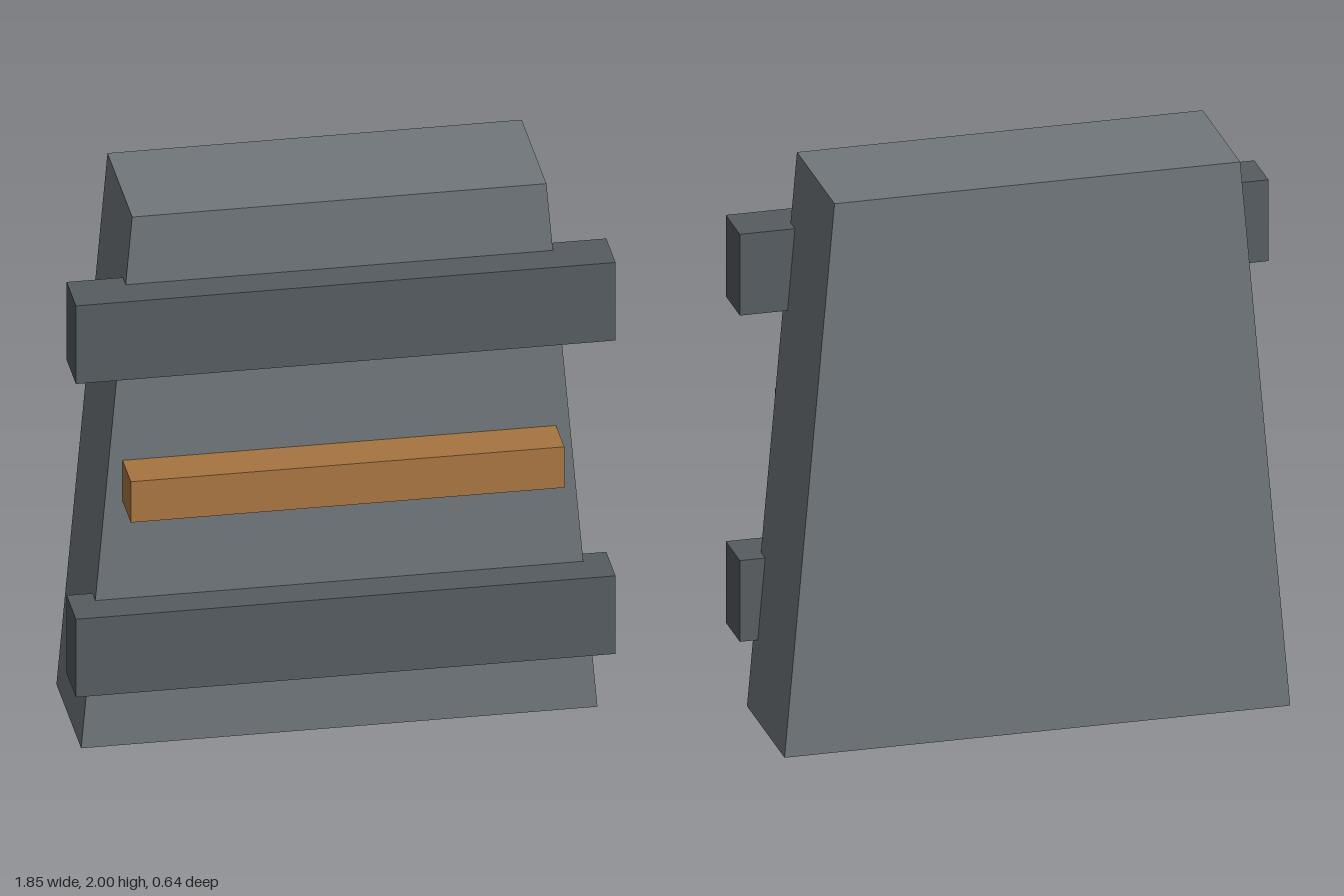
import * as THREE from 'three';

const material = (color) => new THREE.MeshStandardMaterial({ color, flatShading: true });

export function createModel() {
  const model = new THREE.Group();
  const slate = material(0x70777b);
  const darkSlate = material(0x555c60);
  const wood = material(0xa87540);

  const add = (name, geometry, mat) => {
    const mesh = new THREE.Mesh(geometry, mat);
    mesh.name = name;
    model.add(mesh);
    return mesh;
  };

  // Tapered slab, wider at the foot
  const outline = new THREE.Shape([
    new THREE.Vector2(-0.885, 0),
    new THREE.Vector2(0.885, 0),
    new THREE.Vector2(0.71, 2),
    new THREE.Vector2(-0.71, 2),
  ]);
  const slab = new THREE.ExtrudeGeometry(outline, { depth: 0.48, bevelEnabled: false });
  add('slab', slab.translate(0, 0, -0.32), slate);

  // Two wide bands sunk into the front face
  for (const [name, y] of [['lowerBand', 0.408], ['upperBand', 1.597]]) {
    add(name, new THREE.BoxGeometry(1.85, 0.296, 0.18), darkSlate).position.set(0, y, 0.195);
  }

  // Narrow wooden bar between the bands
  add('woodenBar', new THREE.BoxGeometry(1.486, 0.155, 0.17), wood).position.set(0, 1.002, 0.235);

  return model;
}
